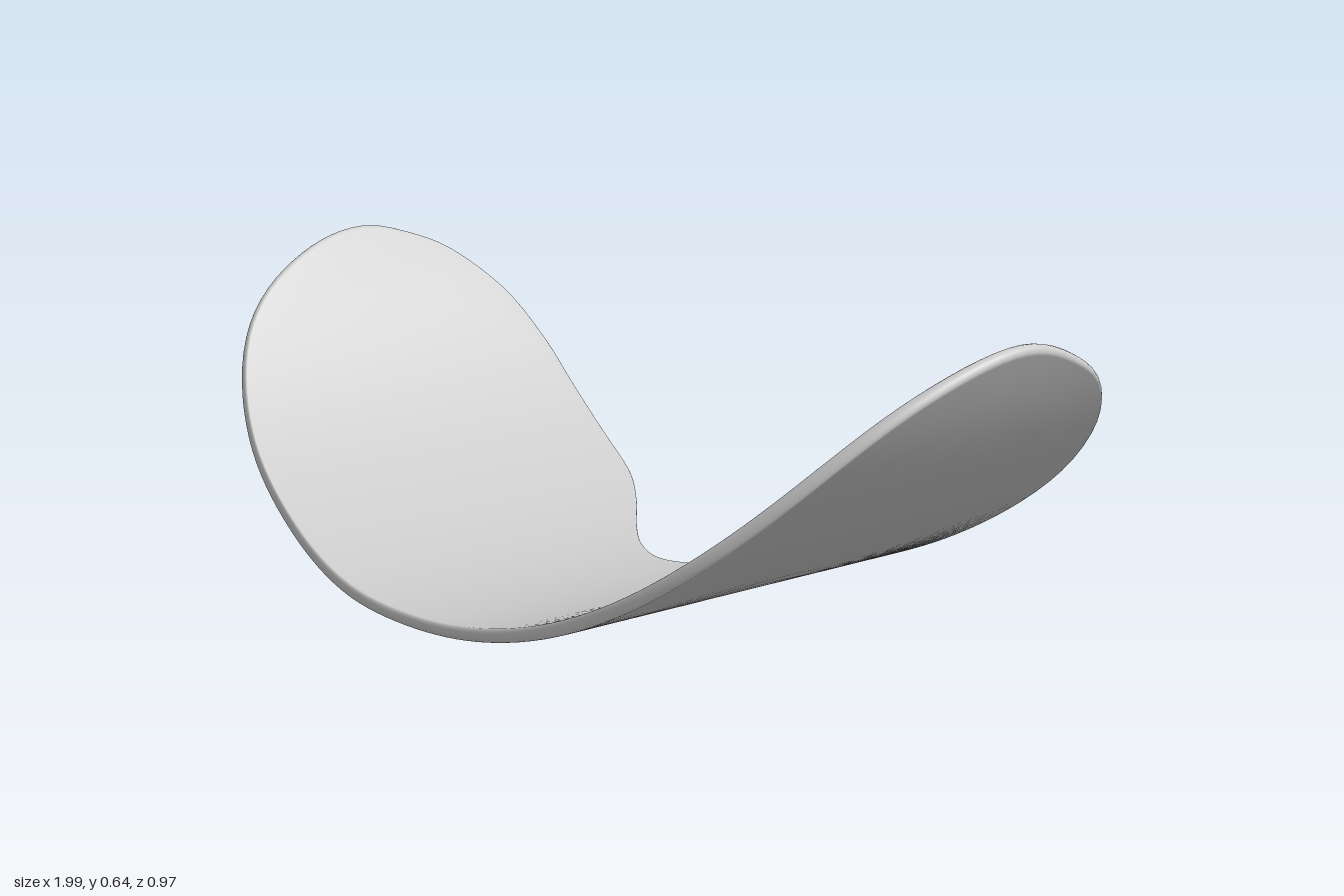
import * as THREE from 'three';

const R = 1.12;          // outer radius of the curved sheet
const AXIS_X = 0.01;     // x of the cylinder axis
const THICK = 0.026;     // sheet thickness
const CENTRE = [0, 0.13]; // middle of the outline, in x and z

// Plan outline (x, z): back notch, right lobe, front edge, left lobe
const OUTLINE = [
  [0, -0.167], [-0.1, -0.2], [-0.2, -0.27], [-0.3, -0.355], [-0.41, -0.427], [-0.55, -0.465],
  [-0.7, -0.485], [-0.8, -0.484], [-0.89, -0.445], [-0.96, -0.337], [-0.992, -0.2],
  [-1, -0.09], [-0.982, 0.055], [-0.935, 0.2], [-0.88, 0.285], [-0.8, 0.35],
  [-0.665, 0.41], [-0.45, 0.453], [-0.2, 0.48], [0, 0.472], [0.24, 0.456],
  [0.565, 0.418], [0.725, 0.37], [0.86, 0.285], [0.93, 0.2], [0.977, 0.08],
  [1, -0.07], [0.985, -0.215], [0.945, -0.35], [0.885, -0.43], [0.815, -0.47],
  [0.74, -0.483], [0.6, -0.468], [0.415, -0.425], [0.285, -0.335], [0.19, -0.257], [0.1, -0.195],
];

// Wrap a plan point onto the cylinder, raised by t towards the axis
function wrap(x, z, t) {
  const a = Math.asin((x - AXIS_X) / R);
  return [AXIS_X + (R - t) * Math.sin(a), R - (R - t) * Math.cos(a), z];
}

function createSheet() {
  const curve = new THREE.CatmullRomCurve3(
    OUTLINE.map(([x, z]) => new THREE.Vector3(x, 0, z)), true, 'centripetal');
  const COLS = 180, RINGS = 22, RIM = 8, SOFT = 0.006;
  const edge = curve.getSpacedPoints(COLS).slice(0, COLS);

  // Rows run from the middle of the underside, round the rim, to the middle of the top
  const rows = [];
  for (let j = 0; j < RINGS; j++) rows.push({ s: j / RINGS, inset: 0, t: 0 });
  for (let j = 0; j <= RIM; j++) {
    const a = Math.PI * j / RIM;
    rows.push({ s: 1, inset: SOFT * (1 - Math.sin(a)), t: THICK * (1 - Math.cos(a)) / 2 });
  }
  for (let j = RINGS - 1; j >= 0; j--) rows.push({ s: j / RINGS, inset: 0, t: THICK });

  const positions = [], index = [];
  rows.forEach(({ s, inset, t }, j) => {
    edge.forEach((p, i) => {
      const dx = p.x - CENTRE[0], dz = p.z - CENTRE[1];
      const k = s - inset / Math.hypot(dx, dz);
      positions.push(...wrap(CENTRE[0] + dx * k, CENTRE[1] + dz * k, t));
      if (j === rows.length - 1) return;
      const n = (i + 1) % COLS;
      const a = j * COLS + i, b = j * COLS + n, c = a + COLS, d = b + COLS;
      index.push(a, b, c, b, d, c);
    });
  });
  const geometry = new THREE.BufferGeometry();
  geometry.setAttribute('position', new THREE.Float32BufferAttribute(positions, 3));
  geometry.setIndex(index);
  geometry.computeVertexNormals();

  // The two middle rows collapse to a point: give them the cylinder's own normal
  const normal = geometry.attributes.normal;
  const [cx, cy] = wrap(...CENTRE, 0);
  const out = new THREE.Vector3(cx - AXIS_X, cy - R, 0).normalize();
  for (let i = 0; i < COLS; i++) {
    normal.setXYZ(i, out.x, out.y, 0);
    normal.setXYZ((rows.length - 1) * COLS + i, -out.x, -out.y, 0);
  }
  return geometry;
}

export function createModel() {
  const model = new THREE.Group();
  model.name = 'curvedShell';
  const sheet = new THREE.Mesh(createSheet(),
    new THREE.MeshStandardMaterial({ color: 0xcccccc }));
  sheet.name = 'curvedSheet';
  model.add(sheet);
  return model;
}
